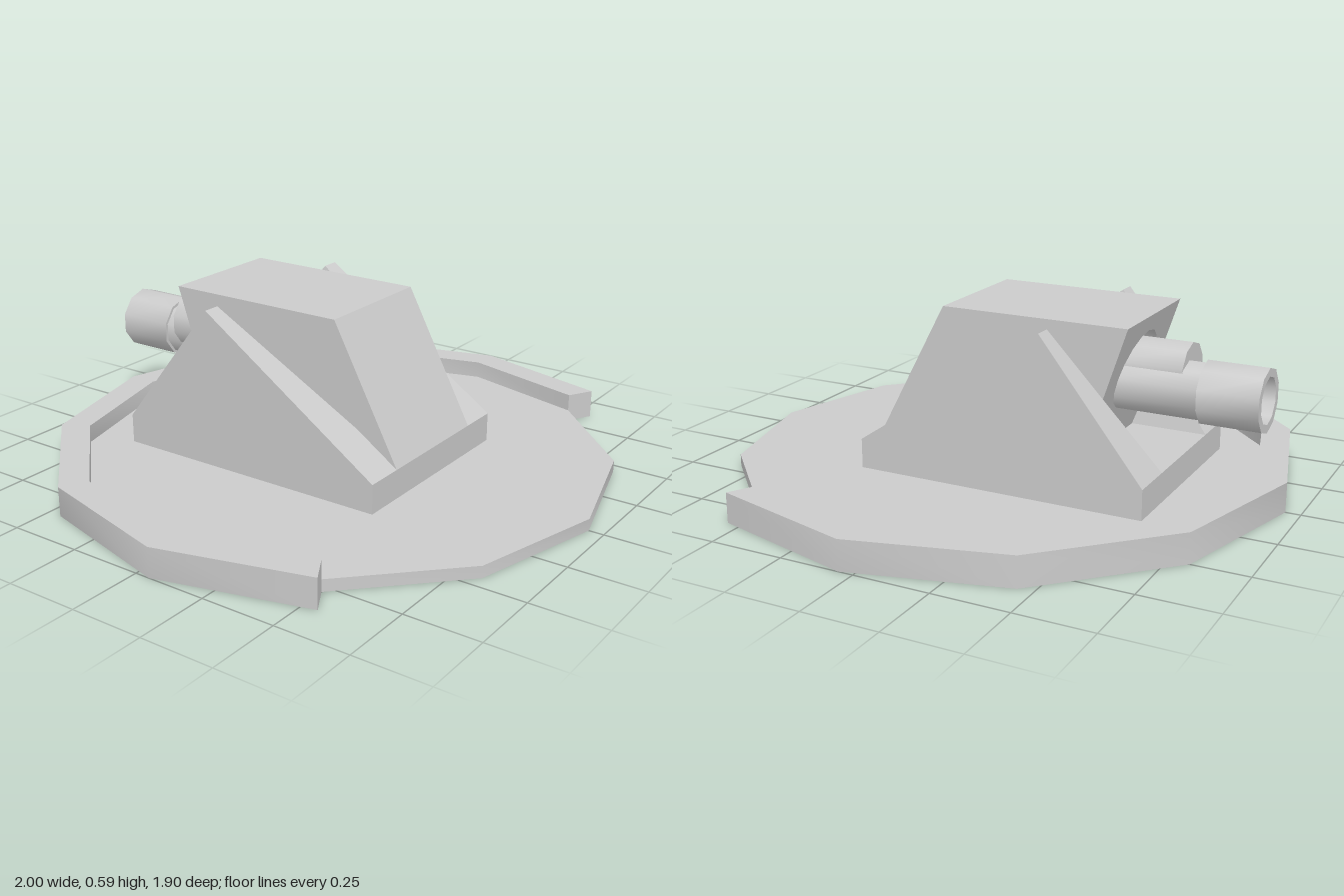
import * as THREE from 'three';
import { toCreasedNormals } from 'three/addons/utils/BufferGeometryUtils.js';

const grey = new THREE.MeshStandardMaterial({ color: 0xcccccc, side: THREE.DoubleSide });

function add(parent, name, geometry) {
  const mesh = new THREE.Mesh(toCreasedNormals(geometry, 0.7), grey);
  mesh.name = name;
  parent.add(mesh);
  return mesh;
}

// Solid between two matching cross-sections (a at lower x, b at higher x)
function prism(a, b, skip = []) {
  const pos = [];
  const tri = (...pts) => pts.forEach((p) => pos.push(...p));
  for (let i = 0; i < a.length; i++) {
    if (skip.includes(i)) continue;
    const j = (i + 1) % a.length;
    tri(b[i], a[i], a[j]);
    tri(b[i], a[j], b[j]);
  }
  for (let i = 1; i < a.length - 1; i++) {
    tri(b[0], b[i], b[i + 1]);
    tri(a[0], a[i + 1], a[i]);
  }
  const g = new THREE.BufferGeometry();
  g.setAttribute('position', new THREE.Float32BufferAttribute(pos, 3));
  g.computeVertexNormals();
  return g;
}

const profile = (points) => points.map((p) => new THREE.Vector2(...p));

// Ten-sided lathe from [radius, distance towards the back]
const turned = (points) => new THREE.LatheGeometry(profile(points), 10).rotateX(-Math.PI / 2);

export function createModel() {
  const model = new THREE.Group();
  model.name = 'turret';

  // Twelve-sided floor shell, hollow below, with a raised rim open at the front
  const platform = new THREE.Group();
  platform.name = 'platform';
  platform.position.z = 0.05;
  model.add(platform);
  add(platform, 'floor', new THREE.CircleGeometry(0.9, 12).rotateX(-Math.PI / 2).translate(0, 0.04, 0));
  add(platform, 'floorEdge', new THREE.LatheGeometry(
    profile([[0.9, 0], [0.9, 0.04]]), 4, -Math.PI / 3, Math.PI * 2 / 3));
  add(platform, 'rim', new THREE.LatheGeometry(
    profile([[1, 0], [1, 0.1], [0.9, 0.1], [0.9, 0.04]]), 8, Math.PI / 3, Math.PI * 4 / 3));
  for (const phi of [Math.PI / 3, Math.PI * 5 / 3]) {
    add(platform, 'rimEnd', new THREE.PlaneGeometry(0.1, 0.1)
      .translate(0.95, 0.05, 0).rotateY(phi - Math.PI / 2));
  }

  // Mounting slab
  add(model, 'slab', new THREE.BoxGeometry(0.72, 0.1, 1).translate(0, 0.09, -0.11));

  // Sloped housing, its back closed by the pierced plate below
  const side = (x) => [[x, 0.14, 0.39], [x, 0.14, -0.345], [x, 0.59, -0.495], [x, 0.59, 0.15]];
  add(model, 'housing', prism(side(-0.223), side(0.223), [1]));

  // Tilted back plate with a round recess for the barrel
  const back = new THREE.Group();
  back.name = 'housingBack';
  back.position.set(0, 0.14, -0.345);
  back.rotation.set(-Math.atan2(0.15, 0.45), Math.PI, 0);
  model.add(back);
  const plate = new THREE.Shape();
  const height = Math.hypot(0.15, 0.45);
  plate.moveTo(-0.223, 0).lineTo(0.223, 0).lineTo(0.223, height).lineTo(-0.223, height).closePath();
  const hole = new THREE.Path();
  hole.absarc(0, 0.274, 0.14, 0, Math.PI * 2, true);
  plate.holes.push(hole);
  add(back, 'backPlate', new THREE.ShapeGeometry(plate, 8));
  add(back, 'recessWall', new THREE.CylinderGeometry(0.14, 0.14, 0.12, 16, 1, true)
    .rotateX(Math.PI / 2).translate(0, 0.274, -0.06));
  add(back, 'recessEnd', new THREE.CircleGeometry(0.14, 16).translate(0, 0.274, -0.12));

  // Triangular side braces leaning against the housing
  for (const s of [-1, 1]) {
    const outer = [[s * 0.36, 0.14, 0.39], [s * 0.36, 0.14, -0.61], [s * 0.36, 0.58, -0.26]];
    const inner = [[s * 0.2, 0.14, 0.39], [s * 0.2, 0.14, -0.61], [s * 0.3, 0.58, -0.26]];
    add(model, s > 0 ? 'leftBrace' : 'rightBrace', s > 0 ? prism(inner, outer) : prism(outer, inner));
  }

  // Barrel with a wider hollow muzzle, and the short sleeve above it
  const barrel = add(model, 'barrel', turned([
    [0, 0.33], [0.096, 0.33], [0.096, 0.675], [0.106, 0.675], [0.106, 0.876], [0.078, 0.876], [0.078, 0.65], [0, 0.65],
  ]));
  barrel.position.y = 0.356;
  const sleeve = add(model, 'sleeve', turned([[0, 0.33], [0.098, 0.33], [0.098, 0.615], [0, 0.615]]));
  sleeve.position.set(-0.03, 0.406, 0);

  return model;
}
